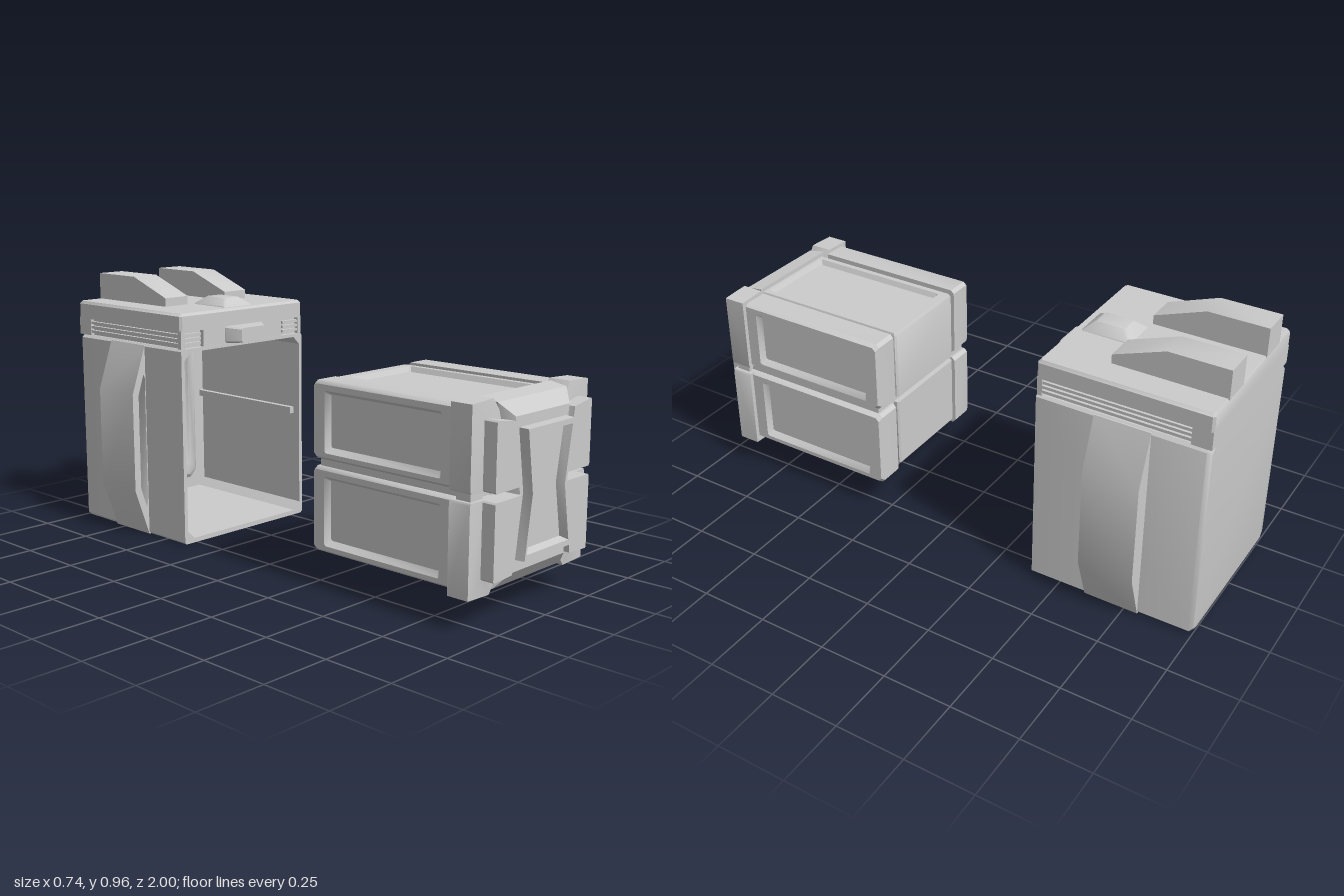
import * as THREE from 'three';
import { toCreasedNormals } from 'three/addons/utils/BufferGeometryUtils.js';

const material = new THREE.MeshStandardMaterial({ color: 0xcccccc });

// Rectangle with clipped corners, counter-clockwise, at depth z
function rect(x0, x1, y0, y1, z, c = 0.006) {
  return [[x0 + c, y0], [x1 - c, y0], [x1, y0 + c], [x1, y1 - c],
    [x1 - c, y1], [x0 + c, y1], [x0, y1 - c], [x0, y0 + c]].map(([x, y]) => [x, y, z]);
}
const at = (points, z) => points.map(([x, y]) => [x, y, z]);

// Skin through equal-length counter-clockwise loops, capped at both ends
function loft(loops) {
  const pos = [];
  const n = loops[0].length;
  const tri = (a, b, c) => pos.push(...a, ...b, ...c);
  for (let k = 0; k < loops.length - 1; k++) {
    const a = loops[k], b = loops[k + 1];
    for (let i = 0; i < n; i++) {
      const j = (i + 1) % n;
      tri(a[i], a[j], b[j]);
      tri(a[i], b[j], b[i]);
    }
  }
  const cap = (loop, flip) => {
    const flat = loop.map(([x, y]) => new THREE.Vector2(x, y));
    for (const [a, b, c] of THREE.ShapeUtils.triangulateShape(flat, [])) {
      if (flip) tri(loop[a], loop[c], loop[b]);
      else tri(loop[a], loop[b], loop[c]);
    }
  };
  cap(loops[0], true);
  cap(loops[loops.length - 1], false);
  const g = new THREE.BufferGeometry();
  g.setAttribute('position', new THREE.Float32BufferAttribute(pos, 3));
  return g;
}

// Box given by its limits
function box(x0, x1, y0, y1, z0, z1) {
  return new THREE.BoxGeometry(x1 - x0, y1 - y0, z1 - z0).toNonIndexed()
    .translate((x0 + x1) / 2, (y0 + y1) / 2, (z0 + z1) / 2);
}

// Mirrored copy across x, with the winding kept outward
function mirrored(g) {
  const m = g.clone().scale(-1, 1, 1);
  const p = m.attributes.position;
  const a = new THREE.Vector3(), b = new THREE.Vector3();
  for (let i = 0; i < p.count; i += 3) {
    a.fromBufferAttribute(p, i + 1);
    b.fromBufferAttribute(p, i + 2);
    p.setXYZ(i + 1, b.x, b.y, b.z);
    p.setXYZ(i + 2, a.x, a.y, a.z);
  }
  return m;
}

function add(parent, name, geometry) {
  geometry.deleteAttribute('normal');
  geometry.deleteAttribute('uv');
  const mesh = new THREE.Mesh(toCreasedNormals(geometry, 0.65), material);
  mesh.name = name;
  parent.add(mesh);
}
function addPair(parent, name, geometry) {
  const other = mirrored(geometry);
  add(parent, name + 'Left', geometry);
  add(parent, name + 'Right', other);
}

function createCase() {
  const g = new THREE.Group();
  g.name = 'case';

  // Hollow shell, open at the front
  add(g, 'shell', loft([
    rect(-0.3, 0.3, 0.01, 0.735, -1, 0.02),
    rect(-0.31, 0.31, 0, 0.735, -0.985, 0.012),
    rect(-0.31, 0.31, 0, 0.735, -0.39, 0.008),
    rect(-0.295, 0.295, 0.018, 0.722, -0.39, 0.03),
    rect(-0.295, 0.295, 0.018, 0.722, -0.97, 0.03),
  ]));

  // Rails inside the side walls and a raised frame on the inner back
  addPair(g, 'guideRail', box(0.275, 0.297, 0.41, 0.435, -0.97, -0.42));
  add(g, 'innerBackPanel', loft([
    rect(-0.25, 0.25, 0.06, 0.68, -0.972, 0.03),
    rect(-0.23, 0.23, 0.08, 0.66, -0.955, 0.03),
    rect(-0.2, 0.2, 0.11, 0.63, -0.955, 0.03),
    rect(-0.19, 0.19, 0.12, 0.62, -0.965, 0.03),
  ]));

  // Faceted side bulges with a sunken front face
  const bulge = [[0.3, 0], [0.31, 0], [0.372, 0.18], [0.372, 0.55], [0.31, 0.73], [0.3, 0.73]];
  const sunk = [[0.313, 0.12], [0.32, 0.11], [0.362, 0.24], [0.362, 0.49], [0.32, 0.62], [0.313, 0.61]];
  addPair(g, 'sideBulge', loft([at(bulge, -0.8), at(bulge, -0.6), at(sunk, -0.6), at(sunk, -0.64)]));

  // Neck under the lid, with slatted vents round the corners
  add(g, 'neck', box(-0.293, 0.293, 0.73, 0.805, -0.995, -0.41));
  add(g, 'neckFront', box(-0.2, 0.2, 0.735, 0.802, -0.42, -0.392));
  add(g, 'neckBack', box(-0.308, 0.308, 0.735, 0.802, -1, -0.93));
  for (const y of [0.745, 0.762, 0.779])
    addPair(g, 'ventSlat', box(0.21, 0.306, y, y + 0.01, -0.94, -0.395));
  addPair(g, 'neckCorner', box(0.29, 0.308, 0.735, 0.802, -0.41, -0.392));

  // Lid with softened top edge
  const lid = loft([
    rect(-0.31, 0.31, 0.39, 1, 0.798, 0.008),
    rect(-0.31, 0.31, 0.39, 1, 0.855, 0.008),
    rect(-0.302, 0.302, 0.398, 0.995, 0.865, 0.008),
  ]);
  add(g, 'lid', lid.rotateX(-Math.PI / 2));

  // Two sloped humps at the back of the lid
  const slope = [[0.6, 0.86], [1, 0.86], [1, 0.965], [0.785, 0.965], [0.6, 0.897]];
  const hump = loft([at(slope, 0.095), at(slope, 0.205)]).rotateY(Math.PI / 2);
  addPair(g, 'lidHump', hump);

  // Small raised button and front latch
  add(g, 'lidButton', loft([
    rect(-0.07, 0.07, 0.415, 0.6, 0.862),
    rect(-0.068, 0.068, 0.42, 0.595, 0.868),
    rect(-0.035, 0.035, 0.455, 0.56, 0.895),
  ]).rotateX(-Math.PI / 2));
  add(g, 'latch', loft([
    rect(-0.095, 0.095, 0.737, 0.8, -0.4),
    rect(-0.092, 0.092, 0.737, 0.8, -0.385),
    rect(-0.06, 0.06, 0.74, 0.795, -0.335),
  ]));
  return g;
}

function createDrawer() {
  const g = new THREE.Group();
  g.name = 'drawer';
  add(g, 'innerCore', box(-0.275, 0.275, 0.15, 0.675, 0.275, 0.9));

  // Upper and lower side blocks with dished outer faces
  for (const [name, y0, y1] of [['upper', 0.44, 0.705], ['lower', 0.12, 0.415]]) {
    const block = loft([
      rect(-0.9, -0.255, y0, y1, 0.195, 0.012),
      rect(-0.9, -0.255, y0, y1, 0.28, 0.012),
      rect(-0.9, -0.262, y0 + 0.01, y1 - 0.01, 0.295, 0.012),
      rect(-0.8, -0.31, y0 + 0.025, y1 - 0.03, 0.295),
      rect(-0.785, -0.325, y0 + 0.045, y1 - 0.045, 0.272),
    ]).rotateY(Math.PI / 2);
    addPair(g, name + 'SideBlock', block);
  }

  // Central body: upper half with a dished top, lower half with a soft base
  add(g, 'upperBody', loft([
    rect(-0.18, 0.18, -0.91, -0.255, 0.44),
    rect(-0.18, 0.18, -0.91, -0.255, 0.69),
    rect(-0.175, 0.175, -0.91, -0.26, 0.7),
    rect(-0.155, 0.155, -0.85, -0.295, 0.7),
    rect(-0.145, 0.145, -0.84, -0.305, 0.682),
  ]).rotateX(-Math.PI / 2));
  add(g, 'lowerBody', loft([
    rect(-0.17, 0.17, -0.91, -0.275, 0.125),
    rect(-0.18, 0.18, -0.91, -0.255, 0.15),
    rect(-0.18, 0.18, -0.91, -0.255, 0.415),
  ]).rotateX(-Math.PI / 2));

  // Corner plates on the front: wide flange, then a raised inner step
  const upperFlange = [[0.12, 0.44], [0.305, 0.44], [0.31, 0.45], [0.31, 0.715], [0.205, 0.72], [0.155, 0.65]];
  const lowerFlange = [[0.155, 0.165], [0.205, 0.1], [0.31, 0.105], [0.31, 0.405], [0.305, 0.412], [0.12, 0.412]];
  const upperStep = [[0.12, 0.44], [0.25, 0.44], [0.255, 0.445], [0.255, 0.66], [0.25, 0.665], [0.158, 0.65]];
  const lowerStep = [[0.158, 0.165], [0.25, 0.16], [0.255, 0.165], [0.255, 0.407], [0.25, 0.412], [0.12, 0.412]];
  for (const [name, flange, step] of [['upper', upperFlange, upperStep], ['lower', lowerFlange, lowerStep]])
    addPair(g, name + 'CornerPlate', loft([
      at(flange, 0.845), at(flange, 0.925), at(step, 0.93), at(step, 0.978),
    ]));
  addPair(g, 'hingeTab', box(0.235, 0.295, 0.408, 0.445, 0.86, 0.915));

  // Waisted centre panel behind the frame
  const waist = (top, mid, y0, y1) => [[-top, y0], [top, y0], [mid, 0.415], [top, y1], [-top, y1], [-mid, 0.415]];
  add(g, 'centrePanel', loft([
    at(waist(0.19, 0.125, 0.105, 0.715), 0.86),
    at(waist(0.185, 0.12, 0.115, 0.705), 0.925),
    at(waist(0.145, 0.112, 0.165, 0.66), 0.965),
  ]));

  // Waisted window frame with a sunken pane
  add(g, 'windowFrame', loft([
    at(waist(0.127, 0.095, 0.203, 0.625), 0.95),
    at(waist(0.125, 0.093, 0.205, 0.623), 1),
    at(waist(0.115, 0.082, 0.224, 0.605), 1),
    at(waist(0.108, 0.076, 0.232, 0.597), 0.97),
  ]));
  return g;
}

export function createModel() {
  const model = new THREE.Group();
  model.name = 'caseWithDrawer';
  model.add(createCase(), createDrawer());
  return model;
}
